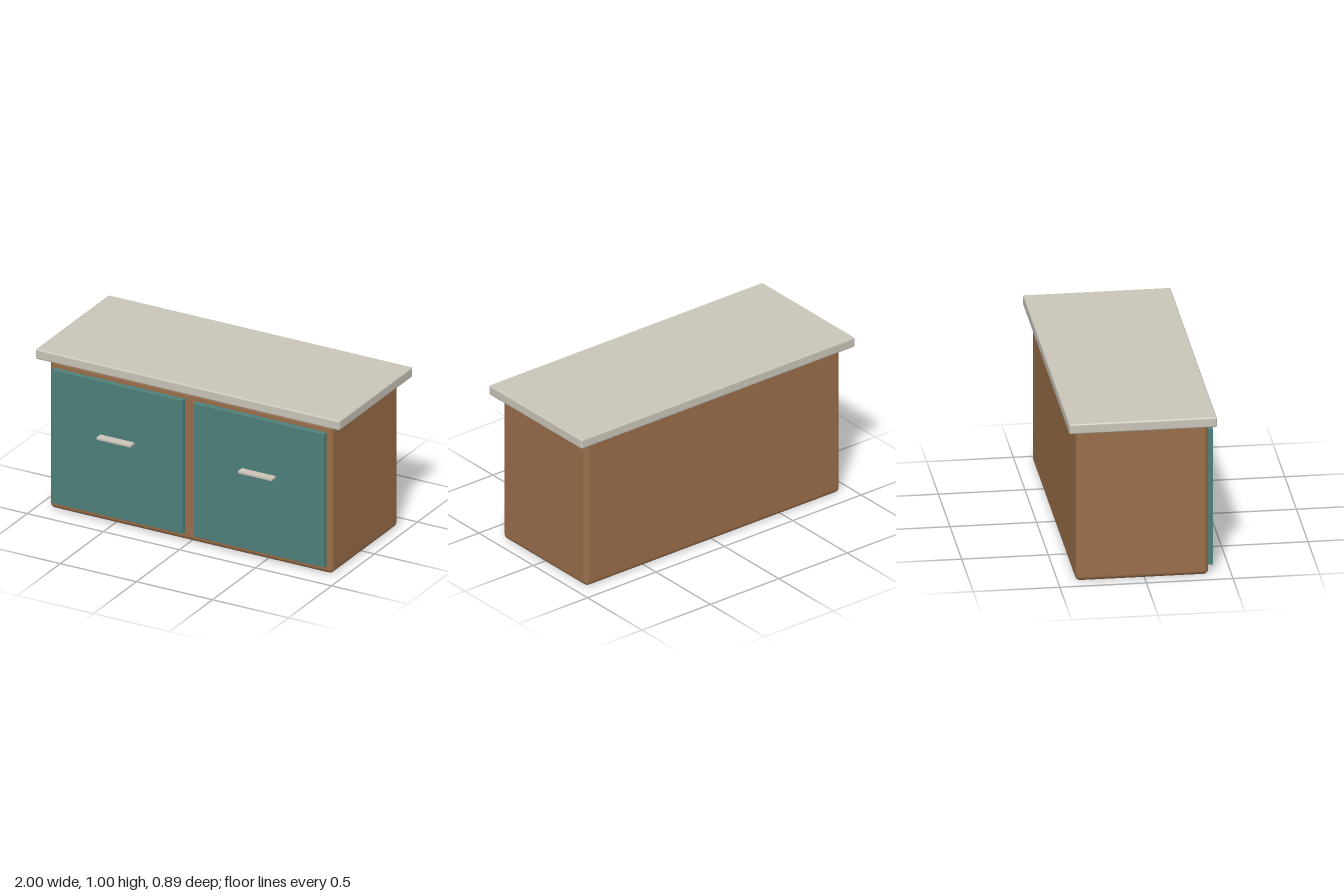
import * as THREE from 'three';
import { RoundedBoxGeometry } from 'three/addons/geometries/RoundedBoxGeometry.js';

const material = (name, color) => {
  const m = new THREE.MeshStandardMaterial({ color });
  m.name = name;
  return m;
};

// Rounded box given by its limits on each axis
function block(name, mat, [x0, x1], [y0, y1], [z0, z1], radius, segments = 3) {
  const geometry = new RoundedBoxGeometry(x1 - x0, y1 - y0, z1 - z0, segments, radius);
  const mesh = new THREE.Mesh(geometry, mat);
  mesh.name = name;
  mesh.position.set((x0 + x1) / 2, (y0 + y1) / 2, (z0 + z1) / 2);
  return mesh;
}

export function createModel() {
  const wood = material('brown wood', 0x9a6e4a);
  const stone = material('pale stone', 0xcac5b9);
  const teal = material('teal paint', 0x4e807a);
  const metal = material('handle metal', 0xcbc3b7);

  const model = new THREE.Group();
  model.name = 'cabinet';

  // Carcass and worktop
  model.add(block('carcass', wood, [-0.93, 0.93], [0, 0.94], [-0.4, 0.37], 0.03, 4));
  model.add(block('worktop', stone, [-1, 1], [0.938, 1], [-0.445, 0.408], 0.01));

  // A door with a flat bar handle on each side
  for (const [side, s] of [['left', 1], ['right', -1]]) {
    const span = (a, b) => (s > 0 ? [a, b] : [-b, -a]);
    const door = new THREE.Group();
    door.name = `${side}Door`;
    door.add(block(`${side}DoorPanel`, teal, span(0.035, 0.895), [0.05, 0.893], [0.37, 0.4], 0.003, 2));
    door.add(block(`${side}Handle`, metal, span(0.353, 0.577), [0.539, 0.556], [0.398, 0.445], 0.003, 2));
    model.add(door);
  }
  return model;
}
